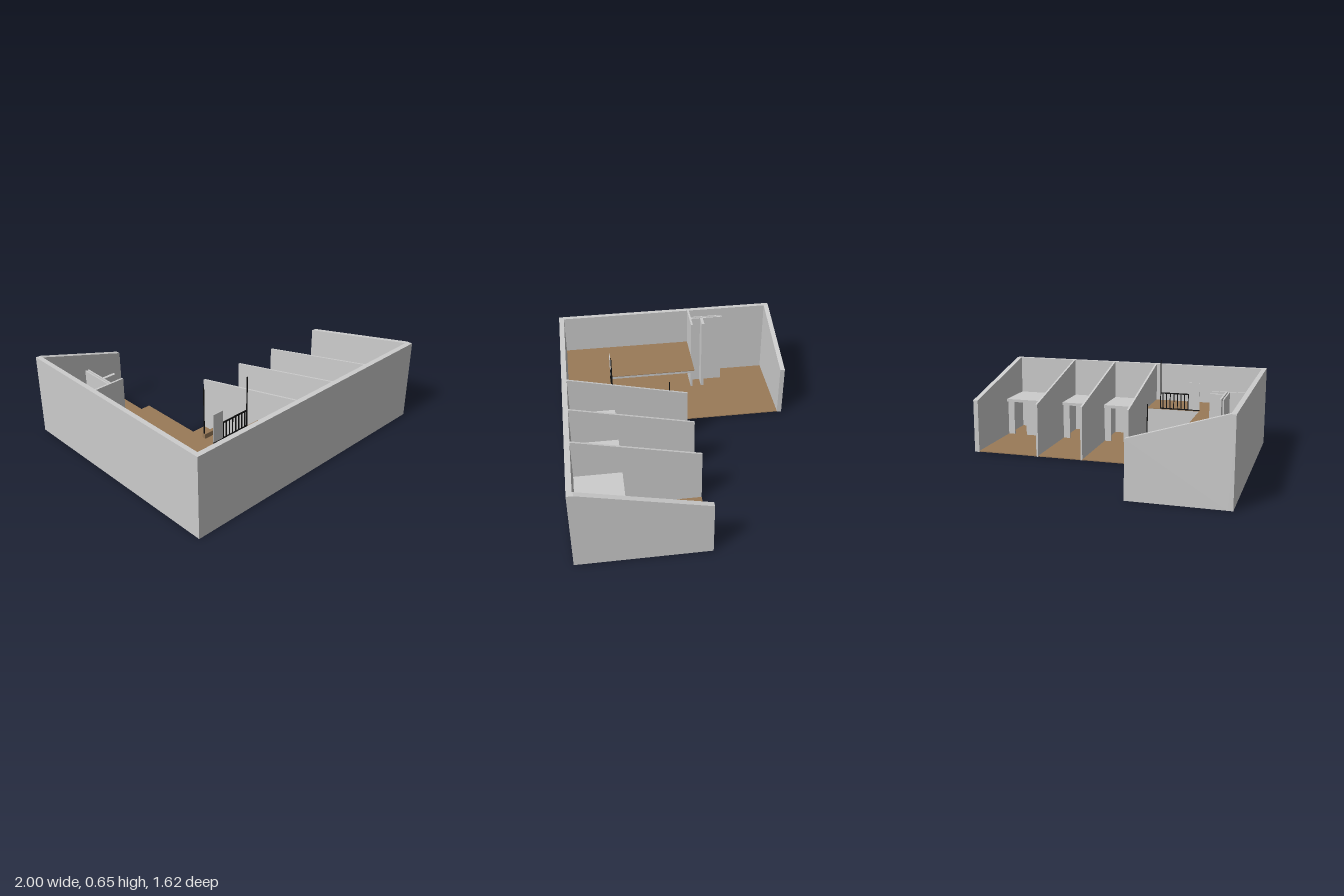
import * as THREE from 'three';

const wallMat = new THREE.MeshStandardMaterial({ color: 0xcccccc });
wallMat.name = 'plaster grey';
const floorMat = new THREE.MeshStandardMaterial({ color: 0x997a58 });
floorMat.name = 'wood brown';
const railMat = new THREE.MeshStandardMaterial({ color: 0x101010 });
railMat.name = 'rail black';

const H = 0.575, LOW = 0.385;      // high and low wall tops
const SLAB = 0.272, LOFT = 0.293;  // underside and top of the lofts

export function createModel() {
  const model = new THREE.Group();

  const add = (name, geometry, material) => {
    const mesh = new THREE.Mesh(geometry, material);
    mesh.name = name;
    model.add(mesh);
    return mesh;
  };
  // box given by its limits on each axis
  const box = (name, x0, x1, y0, y1, z0, z1, material = wallMat) =>
    add(name, new THREE.BoxGeometry(x1 - x0, y1 - y0, z1 - z0)
      .translate((x0 + x1) / 2, (y0 + y1) / 2, (z0 + z1) / 2), material);
  // flat plate from an outline of [x, z] points
  const plate = (name, points, y0, y1, material) => {
    const shape = new THREE.Shape(points.map(([x, z]) => new THREE.Vector2(x, -z)));
    const g = new THREE.ExtrudeGeometry(shape, { depth: y1 - y0, bevelEnabled: false });
    return add(name, g.rotateX(-Math.PI / 2).translate(0, y0, 0), material);
  };
  // wall running along z, its top falling towards the back
  const slopedWall = (name, x0, x1, z1) => {
    const shape = new THREE.Shape([[-z1, 0], [0.06, 0], [0.06, LOW], [-0.77, H], [-z1, H]]
      .map(([a, b]) => new THREE.Vector2(a, b)));
    const g = new THREE.ExtrudeGeometry(shape, { depth: x1 - x0, bevelEnabled: false });
    add(name, g.rotateY(Math.PI / 2).translate(x0, 0, 0), wallMat);
  };

  // ground floor
  plate('groundFloor', [[-0.97, 0.775], [-0.97, -0.78], [-0.342, -0.78], [-0.342, -0.06],
    [0.97, -0.06], [0.97, 0.775]], 0.002, 0.008, floorMat);

  // outer walls
  box('frontWall', -1, 1, 0, H, 0.776, 0.812);
  box('sideWall', -1, -0.967, 0, H, -0.812, 0.776);
  const back = new THREE.Shape([[-0.967, 0], [-0.342, 0], [-0.342, LOW], [-0.967, H]]
    .map(([a, b]) => new THREE.Vector2(a, b)));
  add('backWall', new THREE.ExtrudeGeometry(back, { depth: 0.034, bevelEnabled: false })
    .translate(0, 0, -0.812), wallMat);
  slopedWall('endWall', 0.965, 1, 0.776);

  // partitions between the bays
  for (const x of [-0.158, 0.178, 0.511]) slopedWall('partition', x - 0.007, x + 0.007, 0.776);

  // lofts and washroom fronts in the bays
  for (const [x0, x1] of [[-0.151, 0.171], [0.185, 0.504], [0.518, 0.965]]) {
    box('bayLoft', x0, x1, SLAB, LOFT, 0.46, 0.776);
    box('washroomFront', x0, x1 - 0.15, 0, SLAB, 0.485, 0.499);
    box('washroomJamb', x1 - 0.05, x1, 0, SLAB, 0.485, 0.499);
  }

  // main loft with its wooden covering
  const loft = [[-0.967, 0.776], [-0.967, -0.172], [-0.56, -0.172], [-0.56, 0.46],
    [-0.165, 0.46], [-0.165, 0.776]];
  plate('mainLoft', loft, SLAB, LOFT - 0.004, wallMat);
  plate('mainLoftFloor', loft, LOFT - 0.004, LOFT, floorMat);

  // rooms below the main loft
  box('lowerWall', -0.56, -0.165, 0, SLAB, 0.475, 0.489);
  box('lowerCrossWall', -0.967, -0.65, 0, SLAB, 0.475, 0.489);

  // tall closet walls
  box('closetFront', -0.967, -0.755, 0, H, -0.186, -0.172);
  box('closetSideOuter', -0.87, -0.861, 0, H, -0.425, -0.186);
  box('closetSideInner', -0.853, -0.842, 0, H, -0.425, -0.186);
  box('closetShelfWall', -0.842, -0.755, 0, H, -0.275, -0.254);

  // loft railing
  box('railPanel', -0.56, -0.48, LOFT, 0.5, 0.46, 0.465);
  box('handrail', -0.48, -0.267, 0.408, 0.416, 0.459, 0.467, railMat);
  box('bottomRail', -0.56, -0.267, LOFT, 0.3, 0.459, 0.467, railMat);
  for (let i = 0; i < 8; i++) {
    const x = -0.476 + i * 0.027;
    box('baluster', x - 0.003, x + 0.003, 0.3, 0.408, 0.46, 0.466, railMat);
  }

  // step and posts
  box('step', -0.275, -0.165, 0.008, 0.045, 0.042, 0.066, floorMat);
  box('stepPost', -0.272, -0.266, 0.045, 0.41, 0.051, 0.057, railMat);
  box('loftPost', -0.272, -0.266, LOFT, 0.655, 0.46, 0.466, railMat);

  return model;
}
